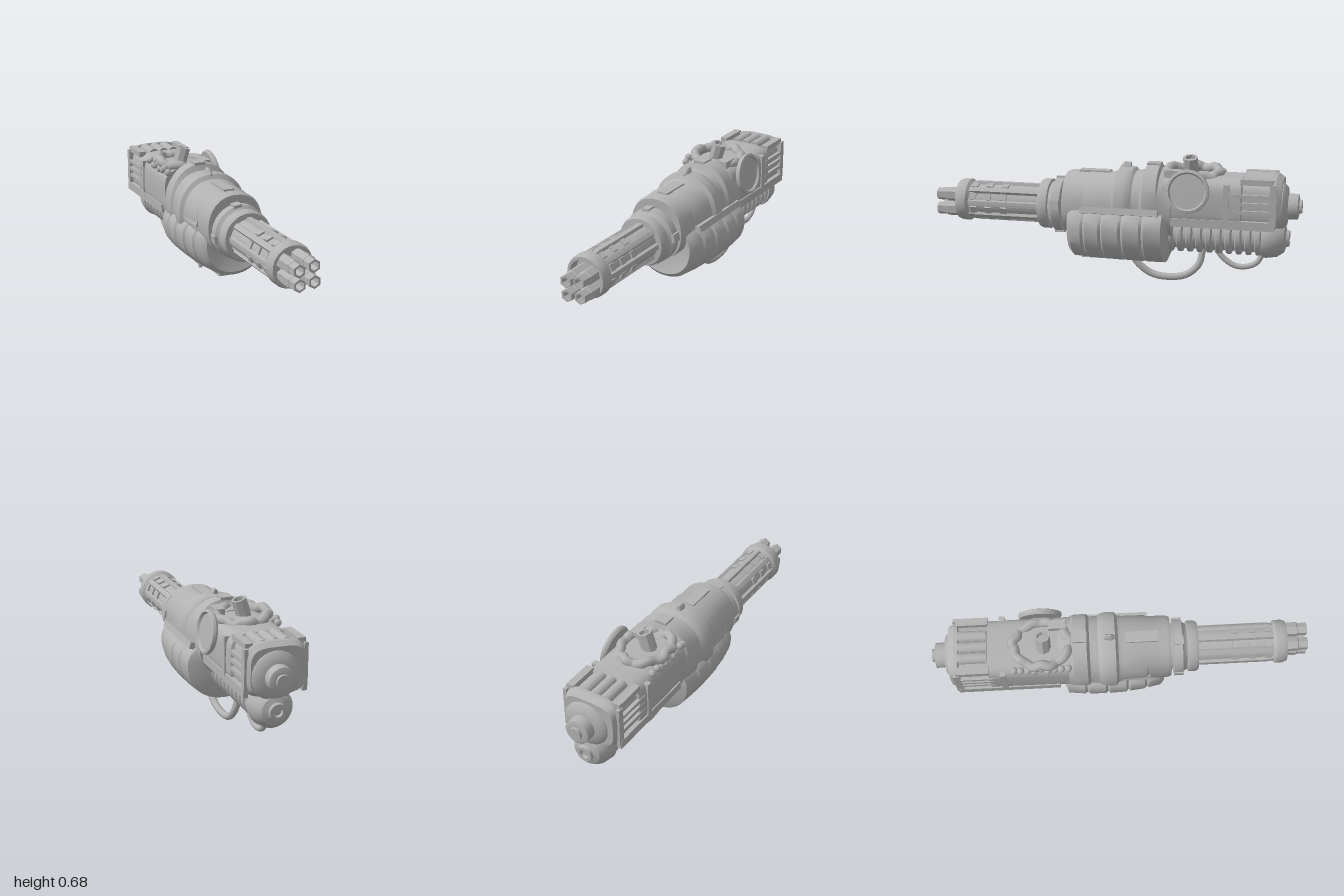
import * as THREE from 'three';
import { toCreasedNormals } from 'three/addons/utils/BufferGeometryUtils.js';

export function createModel() {
  const model = new THREE.Group();
  model.name = 'rotaryCannon';
  const gunmetal = new THREE.MeshStandardMaterial({ color: 0xb2b2b2 });
  gunmetal.name = 'gunmetal grey';

  const add = (name, geometry, x = 0, y = 0, z = 0, parent = model) => {
    const mesh = new THREE.Mesh(geometry, gunmetal);
    mesh.name = name;
    mesh.position.set(x, y, z);
    parent.add(mesh);
    return mesh;
  };

  // Turned part around the z axis; profile is [radius, z] from back to front
  const turned = (profile, sides = 32, crease = 0.6) => toCreasedNormals(
    new THREE.LatheGeometry(profile.map(([r, z]) => new THREE.Vector2(r, z)), sides).rotateX(Math.PI / 2), crease);

  // Closed hull through sections [z, cx, cy, halfWidth, up, down, squareness], back to front
  const loft = (sections, sides = 40, crease = 0.6, radial = () => 1) => {
    const pos = [], idx = [];
    for (const [z, cx, cy, w, up, down, n = 2] of sections) {
      for (let i = 0; i < sides; i++) {
        const a = (i / sides) * Math.PI * 2, c = Math.cos(a), s = Math.sin(a), k = radial(a, z);
        pos.push(cx + k * w * Math.sign(c) * Math.abs(c) ** (2 / n),
          cy + k * (s > 0 ? up : down) * Math.sign(s) * Math.abs(s) ** (2 / n), z);
      }
    }
    const last = sections.length - 1, c0 = pos.length / 3;
    for (const s of [sections[0], sections[last]]) pos.push(s[1], s[2], s[0]);
    for (let i = 0; i < sides; i++) {
      const j = (i + 1) % sides;
      for (let k = 0; k < last; k++) {
        const a = k * sides + i, b = k * sides + j;
        idx.push(a, b, b + sides, a, b + sides, a + sides);
      }
      idx.push(c0, j, i, c0 + 1, last * sides + i, last * sides + j);
    }
    const g = new THREE.BufferGeometry();
    g.setAttribute('position', new THREE.Float32BufferAttribute(pos, 3));
    g.setIndex(idx);
    return toCreasedNormals(g, crease);
  };

  const box = (w, h, d) => new THREE.BoxGeometry(w, h, d);
  const AX = -0.012, AY = 0.385;

  // Four hexagonal hollow barrels
  const barrel = turned([[0.039, 0.78], [0.039, 0.945], [0.034, 0.95], [0.034, 1.0],
    [0.023, 1.0], [0.021, 0.93], [0, 0.93]], 6, 0.3);
  for (const [x, y] of [[-0.04, 0.405], [0.038, 0.42], [-0.036, 0.332], [0.042, 0.34]]) add('barrel', barrel, x, y, 0);

  // Fluted shroud, muzzle ring and raised plates in the flutes
  const flutes = a => (Math.cos(a * 8) > 0.1 ? 1 : 0.86);
  add('barrelShroud', loft([[0.34, AX, AY, 0.108, 0.108, 0.108], [0.78, AX, AY, 0.108, 0.108, 0.108],
    [0.83, AX, AY, 0.1, 0.1, 0.1]], 96, 0.5, flutes));
  add('muzzleRing', turned([[0.1, 0.81], [0.115, 0.825], [0.115, 0.865], [0.107, 0.885],
    [0.092, 0.885], [0.09, 0.835], [0, 0.835]]), AX, AY, 0);
  add('muzzleSpindle', turned([[0.022, 0.8], [0.022, 0.9], [0, 0.915]], 8), AX + 0.014, 0.375, 0);
  for (let i = 0; i < 8; i++) {
    const spoke = new THREE.Group();
    spoke.name = 'shroudPlates';
    spoke.position.set(AX, AY, 0);
    spoke.rotation.z = (i + 0.5) * Math.PI / 4;
    for (const z of [0.61, 0.7, 0.785]) add('shroudPlate', box(0.02, 0.036, 0.035), 0.092, 0, z, spoke);
    model.add(spoke);
  }

  // Collars between barrels and housing
  add('frontCollars', turned([[0, 0.2], [0.115, 0.2], [0.118, 0.275], [0.146, 0.28], [0.146, 0.325], [0.13, 0.335],
    [0.122, 0.35], [0.136, 0.355], [0.136, 0.395], [0.128, 0.41], [0.1, 0.412]]), AX - 0.002, AY, 0);
  for (let i = 0; i < 4; i++) {
    const a = i * Math.PI / 2 + 0.15;
    const lug = add('collarLug', box(0.045, 0.02, 0.05), AX + 0.144 * Math.cos(a), AY + 0.144 * Math.sin(a), 0.305);
    lug.rotation.z = a - Math.PI / 2;
  }

  // Upper housing with its stepped armour bands
  const H = (z, w, h, n = 2.2) => [z, -0.016, 0.4, w, h, 0.16, n];
  add('upperHousing', loft([H(-0.33, 0.17, 0.19), H(-0.26, 0.178, 0.205), H(-0.25, 0.183, 0.228), H(-0.18, 0.186, 0.228),
    H(-0.165, 0.175, 0.195), H(-0.12, 0.177, 0.19), H(-0.105, 0.188, 0.205), H(-0.075, 0.196, 0.21), H(-0.03, 0.194, 0.208),
    H(-0.015, 0.176, 0.185), H(0.01, 0.172, 0.176), H(0.13, 0.17, 0.178), H(0.14, 0.163, 0.173), H(0.24, 0.162, 0.178),
    H(0.262, 0.154, 0.17)], 48));
  add('topFin', loft([[-0.085, -0.025, 0.59, 0.016, 0.045, 0.03], [-0.05, -0.025, 0.59, 0.02, 0.045, 0.03],
    [-0.025, -0.025, 0.57, 0.012, 0.04, 0.03]], 14), 0, 0, 0);
  add('sightRail', box(0.06, 0.018, 0.17), -0.02, 0.575, 0.11);
  add('topBracket', box(0.065, 0.03, 0.075), -0.022, 0.622, -0.215);

  // Banded ammunition drum under the housing
  const D = (z, w, down) => [z, 0.002, 0.3, w, 0.13, down, 2.15];
  add('ammoDrum', loft([D(-0.31, 0.15, 0.15), D(-0.29, 0.205, 0.196), D(-0.2, 0.216, 0.196), D(-0.188, 0.207, 0.183),
    D(-0.175, 0.218, 0.195), D(-0.09, 0.22, 0.195), D(-0.078, 0.209, 0.181), D(-0.065, 0.22, 0.195), D(0.02, 0.217, 0.193),
    D(0.032, 0.204, 0.18), D(0.045, 0.212, 0.193), D(0.12, 0.204, 0.192), D(0.132, 0.192, 0.178), D(0.145, 0.198, 0.19),
    D(0.205, 0.185, 0.188), D(0.226, 0.165, 0.165), D(0.2, 0.11, 0.1)], 48));
  for (const s of [-1, 1]) {
    const seam = add('drumShoulder', box(0.03, 0.035, 0.42), s * 0.172, 0.4, -0.06);
    seam.rotation.z = s * 0.3;
  }
  add('drumKeel', box(0.1, 0.018, 0.46), -0.02, 0.112, -0.05);

  // Rear body
  const B = (z, w, up, down) => [z, -0.028, 0.45, w, up, down, 4];
  add('rearBody', loft([B(-0.9, 0.14, 0.125, 0.11), B(-0.87, 0.155, 0.145, 0.125), B(-0.85, 0.157, 0.147, 0.13),
    B(-0.845, 0.145, 0.125, 0.13), B(-0.7, 0.145, 0.125, 0.13), B(-0.695, 0.16, 0.138, 0.135), B(-0.55, 0.162, 0.135, 0.135),
    B(-0.28, 0.163, 0.135, 0.135)], 48, 0.45));
  for (const x of [-0.165, 0.105]) add('rearTopRail', box(0.04, 0.03, 0.17), x, 0.577, -0.775);
  for (const x of [-0.09, -0.03, 0.03]) {
    add('rearCanister', new THREE.CylinderGeometry(0.03, 0.03, 0.15, 16).rotateX(Math.PI / 2), x, 0.57, -0.775);
  }

  // Side vents, ledges and skirts, mirrored about the body centre
  for (const s of [-1, 1]) {
    for (let i = 0; i < 3; i++) add('sideVent', box(0.02, 0.018, 0.19), -0.028 + s * 0.152, 0.42 + i * 0.042, -0.75);
    add('sideLedge', box(0.025, 0.045, 0.54), -0.028 + s * 0.152, 0.35, -0.6);
    add('sideRib', box(0.03, 0.2, 0.03), -0.028 + s * 0.152, 0.46, -0.62);
    add('rearRib', box(0.02, 0.22, 0.035), -0.028 + s * 0.153, 0.46, -0.86);
  }

  // Ragged open hatch rim on top
  const points = [];
  for (let i = 0; i < 22; i++) {
    const a = (i / 22) * Math.PI * 2, k = 1 + 0.05 * Math.sin(i * 2.7);
    points.push(new THREE.Vector3(-0.04 + 0.125 * k * Math.cos(a), 0.59 + 0.01 * Math.sin(i * 1.9) - 0.012 * Math.cos(a),
      -0.415 + 0.145 * k * Math.sin(a)));
  }
  add('hatchRim', new THREE.TubeGeometry(new THREE.CatmullRomCurve3(points, true), 88, 0.026, 8, true));
  for (let i = 0; i < 9; i++) {
    add('edgeBead', new THREE.SphereGeometry(0.02, 8, 6), -0.172 - 0.006 * (i % 2), 0.575 + 0.012 * Math.sin(i * 2), -0.56 + i * 0.035);
  }
  const plug = add('hatchPlug', turned([[0, -0.06], [0.04, -0.06], [0.04, 0.05], [0.028, 0.05], [0.026, 0.03], [0, 0.03]], 8, 0.4),
    -0.04, 0.622, -0.405);
  plug.rotation.set(-Math.PI / 2, 0.3, 0);
  add('hatchBlock', box(0.05, 0.05, 0.09), 0.06, 0.59, -0.33);

  // Tilted side dish
  const dish = add('sideDish', turned([[0, -0.012], [0.108, -0.012], [0.115, 0], [0.113, 0.014], [0.1, 0.018], [0.092, 0.006],
    [0, 0.008]], 24), 0.147, 0.52, -0.42);
  dish.rotation.set(0, Math.PI / 2, 0.16, 'ZYX');
  add('dishMount', box(0.06, 0.08, 0.08), 0.11, 0.49, -0.42);

  // Rear domed cap with axle stub
  add('rearCap', turned([[0, -1], [0.035, -1], [0.035, -0.985], [0.05, -0.985], [0.066, -0.98], [0.068, -0.93],
    [0.1, -0.925], [0.122, -0.905], [0.13, -0.87]], 24), -0.014, 0.435, 0);

  // Ribbed cylinder under the rear body, with end cap
  const ribs = [[0, -0.82], [0.08, -0.82]];
  for (let i = 0; i < 10; i++) {
    const z = -0.8 + i * 0.052;
    ribs.push([0.082, z], [0.1, z + 0.008], [0.1, z + 0.03], [0.082, z + 0.038]);
  }
  add('ribbedCylinder', turned(ribs, 28), -0.015, 0.262, 0);
  add('cylinderCap', turned([[0, -0.925], [0.02, -0.925], [0.024, -0.94], [0.042, -0.94], [0.046, -0.925], [0.075, -0.915],
    [0.1, -0.88], [0.11, -0.82], [0.104, -0.8], [0, -0.8]], 28), -0.015, 0.262, 0);
  add('cylinderSpine', box(0.12, 0.09, 0.56), -0.02, 0.33, -0.57);

  // Looped hoses underneath
  const hose = (name, r, pts) => add(name, new THREE.TubeGeometry(
    new THREE.CatmullRomCurve3(pts.map(p => new THREE.Vector3(...p))), 40, r, 10));
  hose('largeHose', 0.019, [[0.03, 0.14, -0.1], [0.028, 0.085, -0.14], [0.022, 0.035, -0.21], [0.02, 0.021, -0.3],
    [0.02, 0.04, -0.4], [0.015, 0.1, -0.465], [0, 0.19, -0.485]]);
  hose('smallHose', 0.015, [[-0.01, 0.19, -0.55], [-0.01, 0.14, -0.59], [-0.01, 0.1, -0.65], [-0.01, 0.095, -0.71],
    [-0.01, 0.12, -0.77], [-0.01, 0.19, -0.81]]);
  add('drumPeg', new THREE.CylinderGeometry(0.02, 0.01, 0.075, 8), -0.048, 0.087, -0.125);

  return model;
}
